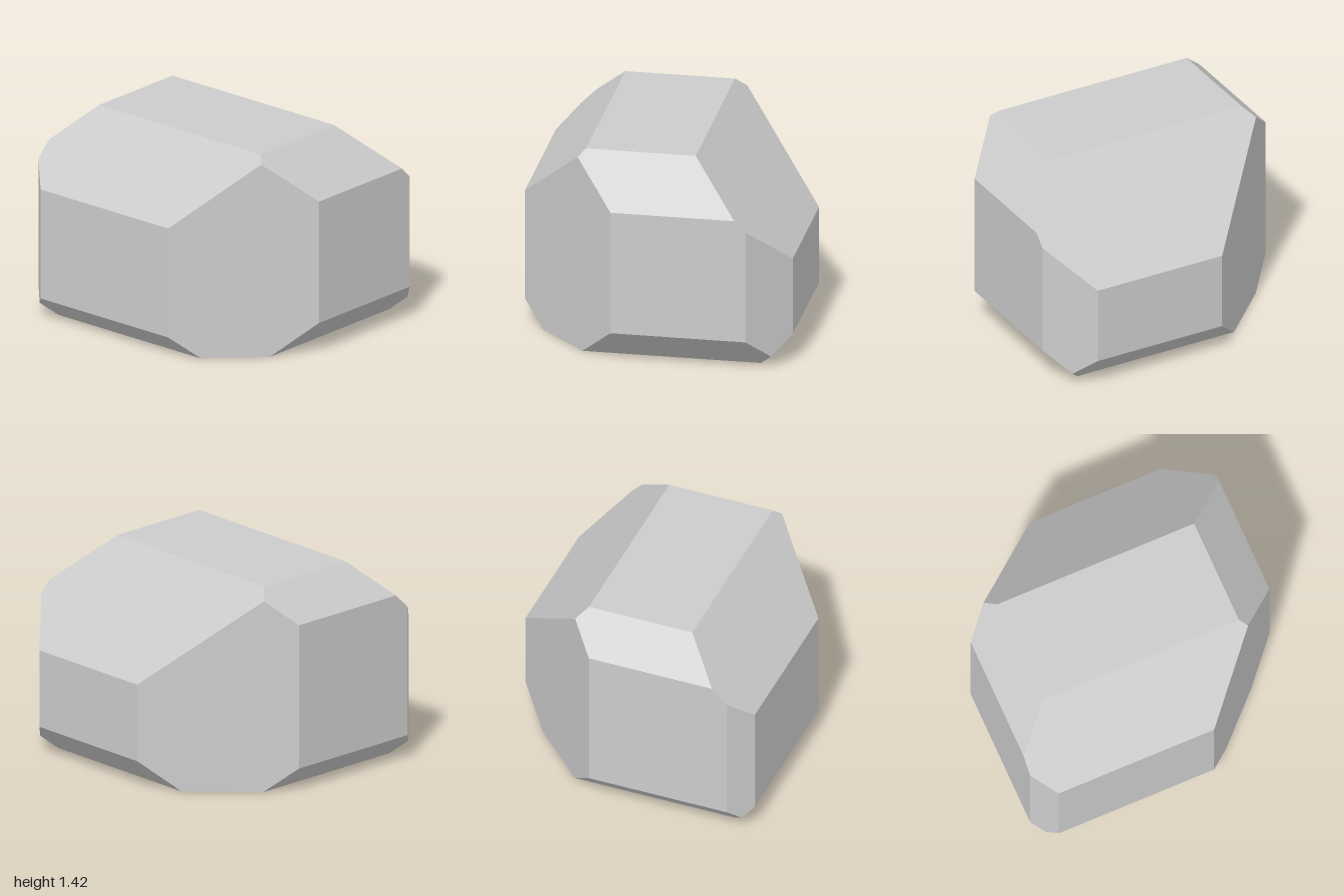
import * as THREE from 'three';
import { ConvexGeometry } from 'three/addons/geometries/ConvexGeometry.js';

// Each cut is a plane nx*x + ny*y + nz*z <= d
const CUTS = [
  // box sides
  [1, 0, 0, 0.955], [-1, 0, 0, 0.955],
  [0, 1, 0, 1.425], [0, -1, 0, 0],
  [0, 0, 1, 1], [0, 0, -1, 1],
  // bevels along z: top left, top right, bottom left, bottom right
  [1, 1, 0, 1.708], [-1, 1, 0, 1.89], [1, -1, 0, 0.745], [-1, -1, 0, 0.8],
  // bevels along x: top front, top back, bottom front, bottom back
  [0, 1, 1, 2.102], [0, 1, -1, 2.187], [0, -1, 1, 0.766], [0, -1, -1, 0.83],
  // upright bevels: front left, back left, front right, back right
  [1, 0, 1, 1.682], [1, 0, -1, 1.187], [-1, 0, 1, 1.238], [-1, 0, -1, 1.81],
];

// Corners of the solid: points where three planes meet, inside all the others
function corners(cuts) {
  const planes = cuts.map(([x, y, z, d]) => ({ n: new THREE.Vector3(x, y, z), d }));
  const points = [];
  const m = new THREE.Matrix3();
  for (let i = 0; i < planes.length; i++) {
    for (let j = i + 1; j < planes.length; j++) {
      for (let k = j + 1; k < planes.length; k++) {
        const [a, b, c] = [planes[i], planes[j], planes[k]];
        m.set(a.n.x, a.n.y, a.n.z, b.n.x, b.n.y, b.n.z, c.n.x, c.n.y, c.n.z);
        if (Math.abs(m.determinant()) < 1e-6) continue;
        const p = new THREE.Vector3(a.d, b.d, c.d).applyMatrix3(m.invert());
        const inside = planes.every((q) => q.n.dot(p) <= q.d + 1e-6);
        if (inside && !points.some((q) => q.distanceTo(p) < 1e-4)) points.push(p);
      }
    }
  }
  return points;
}

export function createModel() {
  const group = new THREE.Group();
  group.name = 'bevelledBlock';
  const material = new THREE.MeshStandardMaterial({ color: 0xcccccc, flatShading: true });
  const block = new THREE.Mesh(new ConvexGeometry(corners(CUTS)), material);
  block.name = 'block';
  group.add(block);
  return group;
}
